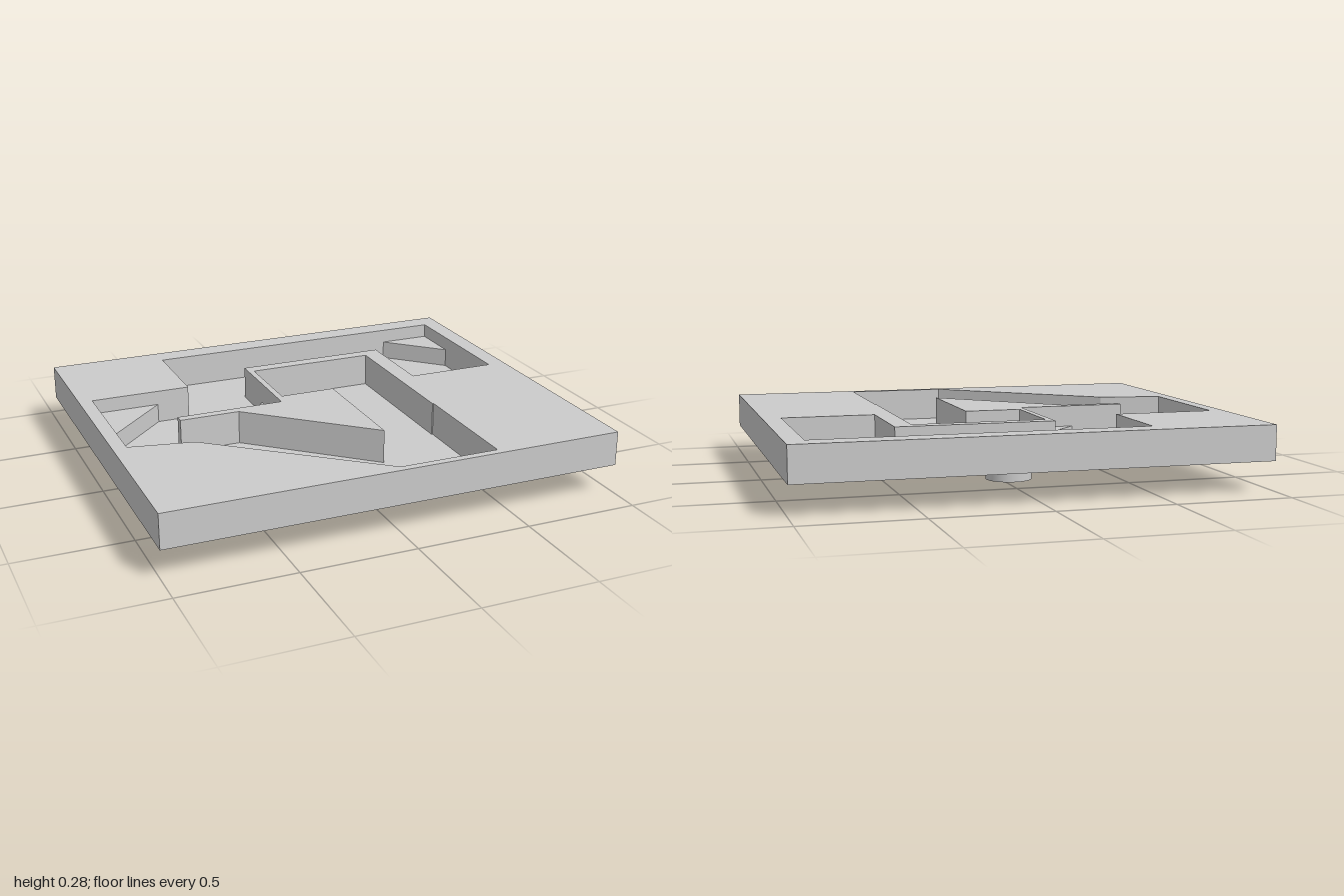
import * as THREE from 'three';

const WIDTH = 2, DEPTH = 1.715;
const BOTTOM = 0.127, FLOOR = 0.131, TOP = 0.278;

// Outline of the recessed channel, as [x, z]
const CHANNEL = [
  [-0.94, -0.357], [-0.495, -0.357], [-0.495, -0.757], [0.92, -0.757],
  [0.92, -0.09], [0.516, -0.09], [0.516, -0.497], [-0.17, -0.497],
  [-0.17, -0.021], [-0.65, -0.021], [-0.65, 0.019], [-0.385, 0.019],
  [0.105, 0.462], [0.105, -0.083], [-0.143, -0.083], [-0.143, -0.44],
  [0.435, -0.44], [0.435, 0.263], [0.44, 0.263], [0.44, 0.824],
  [0.002, 0.824], [-0.663, 0.268], [-0.94, 0.212],
];

// Triangular corner fillers inside the channel: top height and [x, z] corners
const WEDGES = [
  { top: 0.215, corners: [[-0.94, -0.357], [-0.64, -0.357], [-0.94, -0.057]] },
  { top: 0.215, corners: [[0.92, -0.757], [0.92, -0.522], [0.683, -0.757]] },
  { top: 0.185, corners: [[-0.17, -0.021], [-0.413, -0.021], [-0.17, -0.267]] },
];

const toPoints = (list) => list.map(([x, z]) => new THREE.Vector2(x, -z));

// Extrudes a plan shape upward between two heights
function slab(shape, y0, y1) {
  return new THREE.ExtrudeGeometry(shape, { depth: y1 - y0, bevelEnabled: false })
    .rotateX(-Math.PI / 2)
    .translate(0, y0, 0);
}

export function createModel() {
  const group = new THREE.Group();
  const material = new THREE.MeshStandardMaterial({ color: 0xcccccc });
  const add = (name, geometry) => {
    const mesh = new THREE.Mesh(geometry, material);
    mesh.name = name;
    group.add(mesh);
  };

  const w = WIDTH / 2, d = DEPTH / 2;

  // Plate with the channel cut out; the rim runs counter-clockwise so the channel walls face inward
  const plate = new THREE.Shape(toPoints([[-w, d], [w, d], [w, -d], [-w, -d]]));
  plate.holes.push(new THREE.Path(toPoints(CHANNEL)));
  add('plate', slab(plate, FLOOR, TOP));

  // Thin floor closing the channel
  add('channelFloor', new THREE.BoxGeometry(WIDTH, FLOOR - BOTTOM, DEPTH)
    .translate(0, (FLOOR + BOTTOM) / 2, 0));

  // Lower wedges in three channel corners
  WEDGES.forEach(({ top, corners }, i) =>
    add(`cornerWedge${i + 1}`, slab(new THREE.Shape(toPoints(corners)), FLOOR, top)));

  // Round peg under the plate
  add('peg', new THREE.CylinderGeometry(0.1, 0.1, BOTTOM, 48)
    .translate(-0.038, BOTTOM / 2, -0.256));

  return group;
}
